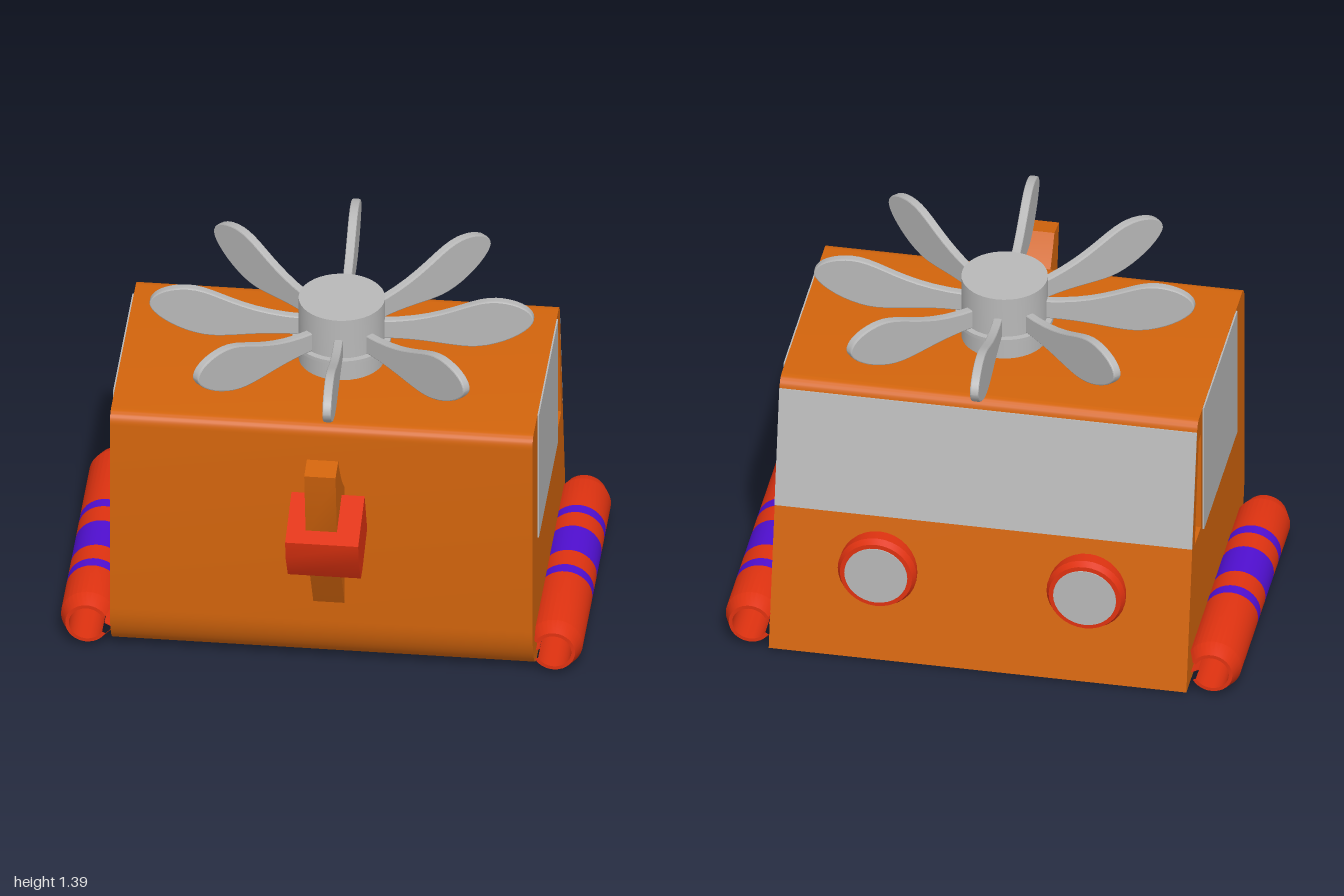
import * as THREE from 'three';
import { toCreasedNormals } from 'three/addons/utils/BufferGeometryUtils.js';

const mat = (name, color) => {
  const m = new THREE.MeshStandardMaterial({ color });
  m.name = name;
  return m;
};

export function createModel() {
  const orange = mat('orange', 0xd2640c);
  const red = mat('red', 0xdf3210);
  const purple = mat('purple', 0x500fd0);
  const grey = mat('grey', 0xb8b8b8);
  const model = new THREE.Group();

  const add = (parent, name, geometry, material) => {
    const mesh = new THREE.Mesh(geometry, material);
    mesh.name = name;
    parent.add(mesh);
    return mesh;
  };
  const points = (list) => list.map(([a, b]) => new THREE.Vector2(a, b));
  const polygon = (list) => new THREE.Shape(points(list));

  // Extrudes a side profile drawn in (z, y) from x0 to x1
  const slab = (shape, x0, x1) => {
    const g = new THREE.ExtrudeGeometry(shape, { depth: x1 - x0, bevelEnabled: false, curveSegments: 10 });
    g.rotateY(-Math.PI / 2).translate(x1, 0, 0);
    return toCreasedNormals(g, 0.5);
  };
  const lathe = (list, segments, start = 0, length = Math.PI * 2) =>
    toCreasedNormals(new THREE.LatheGeometry(points(list), segments, start, length), 0.4);

  // Cabin with a slanted back, rounded edges and a small opening in each side
  const X0 = -0.8, X1 = 0.82;
  const backZ = (y) => -0.72 + (y - 0.01) * 0.2075;
  const profile = new THREE.Shape();
  profile.moveTo(-0.72, 0.01);
  profile.lineTo(0.32, 0.01);
  profile.bezierCurveTo(0.4, 0.03, 0.455, 0.12, 0.455, 0.22);
  profile.lineTo(0.455, 1.05);
  profile.quadraticCurveTo(0.455, 1.1, 0.405, 1.1);
  profile.lineTo(-0.455, 1.1);
  profile.quadraticCurveTo(-0.495, 1.1, backZ(1.06), 1.06);
  profile.closePath();
  const opening = [[-0.425, 1.0], [-0.47, 1.0], [-0.55, 0.575], [-0.425, 0.575]];
  profile.holes.push(new THREE.Path(points(opening)));
  add(model, 'cabin', slab(profile, X0, X1), orange);

  // Side windows, recessed quarter windows and their small brackets
  for (const [side, x] of [[-1, X0], [1, X1]]) {
    const pane = add(model, 'sideWindow', new THREE.BoxGeometry(0.008, 0.555, 0.675), grey);
    pane.position.set(x + side * 0.002, 0.8215, -0.0525);
    const inner = x - side * 0.12;
    add(model, 'quarterWindow', slab(polygon(opening), inner - 0.004, inner + 0.004), grey);
    const foot = add(model, 'lowerBracket', new THREE.CylinderGeometry(0.02, 0.065, 0.08, 6).toNonIndexed(), grey);
    foot.geometry.computeVertexNormals();
    foot.position.set(x - side * 0.07, 0.61, -0.485);
    const top = add(model, 'upperBracket', new THREE.CylinderGeometry(0.025, 0.008, 0.08, 6).toNonIndexed(), grey);
    top.geometry.computeVertexNormals();
    top.position.set(x - side * 0.07, 0.96, -0.448);
  }

  // Wide window on the slanted back
  const rear = [[backZ(1.06), 1.06], [backZ(1.06) - 0.005, 1.06], [backZ(0.59) - 0.005, 0.59], [backZ(0.59), 0.59]];
  add(model, 'rearWindow', slab(polygon(rear), X0, X1), grey);

  // Round lamps on the back
  for (const x of [-0.4, 0.41]) {
    const lamp = new THREE.Group();
    lamp.name = 'lamp';
    const rim = lathe([[0, 0], [0.15, 0], [0.153, 0.09], [0.14, 0.115], [0, 0.115]], 32);
    add(lamp, 'lampHousing', rim, red);
    const lens = add(lamp, 'lampLens', new THREE.CylinderGeometry(0.122, 0.122, 0.006, 32), grey);
    lens.position.y = 0.116;
    lamp.rotation.x = -Math.PI / 2;
    lamp.position.set(x, 0.375, -0.575);
    model.add(lamp);
  }

  // Hollow side tubes, slit toward the cabin, with three bands each
  const R = 0.105, INNER = 0.068, GAP = 1.0;
  const cuts = [-0.555, -0.31, -0.26, -0.165, 0.005, 0.105, 0.155, 0.555];
  for (const side of [1, -1]) {
    const tube = new THREE.Group();
    tube.name = side > 0 ? 'leftTube' : 'rightTube';
    for (let i = 0; i < cuts.length - 1; i++) {
      const a = cuts[i], b = cuts[i + 1];
      const outer = [[R, a], [R, b]];
      if (i === 0) outer.splice(0, 1, [0.082, a], [R, a + 0.06]);
      if (i === cuts.length - 2) outer.splice(1, 1, [R, b - 0.06], [0.082, b]);
      const ring = [[INNER, a], ...outer, [INNER, b], [INNER, a]];
      const g = lathe(ring, 28, -Math.PI / 2 + GAP / 2, Math.PI * 2 - GAP).rotateX(Math.PI / 2);
      add(tube, i % 2 ? 'tubeBand' : 'tubeSection', g, i % 2 ? purple : red);
    }
    // Edges of the slit
    for (const s of [-1, 1]) {
      const edge = add(tube, 'slitEdge', new THREE.BoxGeometry(R - INNER - 0.004, 0.004, 0.98), red);
      const a = Math.PI + s * GAP / 2, r = (R + INNER) / 2;
      edge.position.set(r * Math.cos(a), r * Math.sin(a), 0);
      edge.rotation.z = a;
    }
    tube.position.set(side * 0.895, R, -0.155);
    tube.rotation.y = side > 0 ? 0 : Math.PI;
    model.add(tube);
  }

  // Front bracket with a curved upper edge, and the block it carries
  const arm = new THREE.Shape();
  arm.moveTo(0.44, 0.28);
  arm.lineTo(0.62, 0.58);
  arm.lineTo(0.72, 0.77);
  arm.lineTo(0.775, 1.08);
  arm.lineTo(0.68, 1.095);
  arm.quadraticCurveTo(0.58, 0.93, 0.44, 0.82);
  arm.closePath();
  add(model, 'frontBracket', slab(arm, -0.02, 0.1), orange);
  const block = [[0.47, 0.66], [0.64, 0.58], [0.69, 0.575], [0.77, 0.7], [0.785, 0.78], [0.56, 0.865]];
  add(model, 'frontBlock', slab(polygon(block), -0.092, 0.188), red);

  // Roof propeller: hub, collar and eight upright paddle blades
  const propeller = new THREE.Group();
  propeller.name = 'propeller';
  propeller.position.set(0.035, 1.09, -0.04);
  add(propeller, 'hub', lathe([[0, 0], [0.165, 0], [0.165, 0.28], [0, 0.28]], 40), grey);
  add(propeller, 'collar', lathe([[0.15, 0.095], [0.188, 0.095], [0.188, 0.11], [0.15, 0.11]], 40), grey);
  const blade = new THREE.Shape();
  blade.moveTo(0.14, 0.11);
  blade.bezierCurveTo(0.3, 0.12, 0.4, 0.09, 0.49, 0.09);
  blade.bezierCurveTo(0.6, 0.09, 0.73, 0.17, 0.735, 0.22);
  blade.bezierCurveTo(0.735, 0.27, 0.66, 0.3, 0.59, 0.3);
  blade.bezierCurveTo(0.48, 0.3, 0.4, 0.2, 0.14, 0.19);
  const bladeGeometry = toCreasedNormals(new THREE.ExtrudeGeometry(blade, {
    depth: 0.02, bevelThickness: 0.007, bevelSize: 0.005, bevelOffset: -0.005, bevelSegments: 2, curveSegments: 10,
  }).translate(0, 0, -0.01), 0.5);
  for (let i = 0; i < 8; i++) {
    add(propeller, 'blade', bladeGeometry, grey).rotation.y = i * Math.PI / 4 + 0.03;
  }
  model.add(propeller);

  return model;
}
